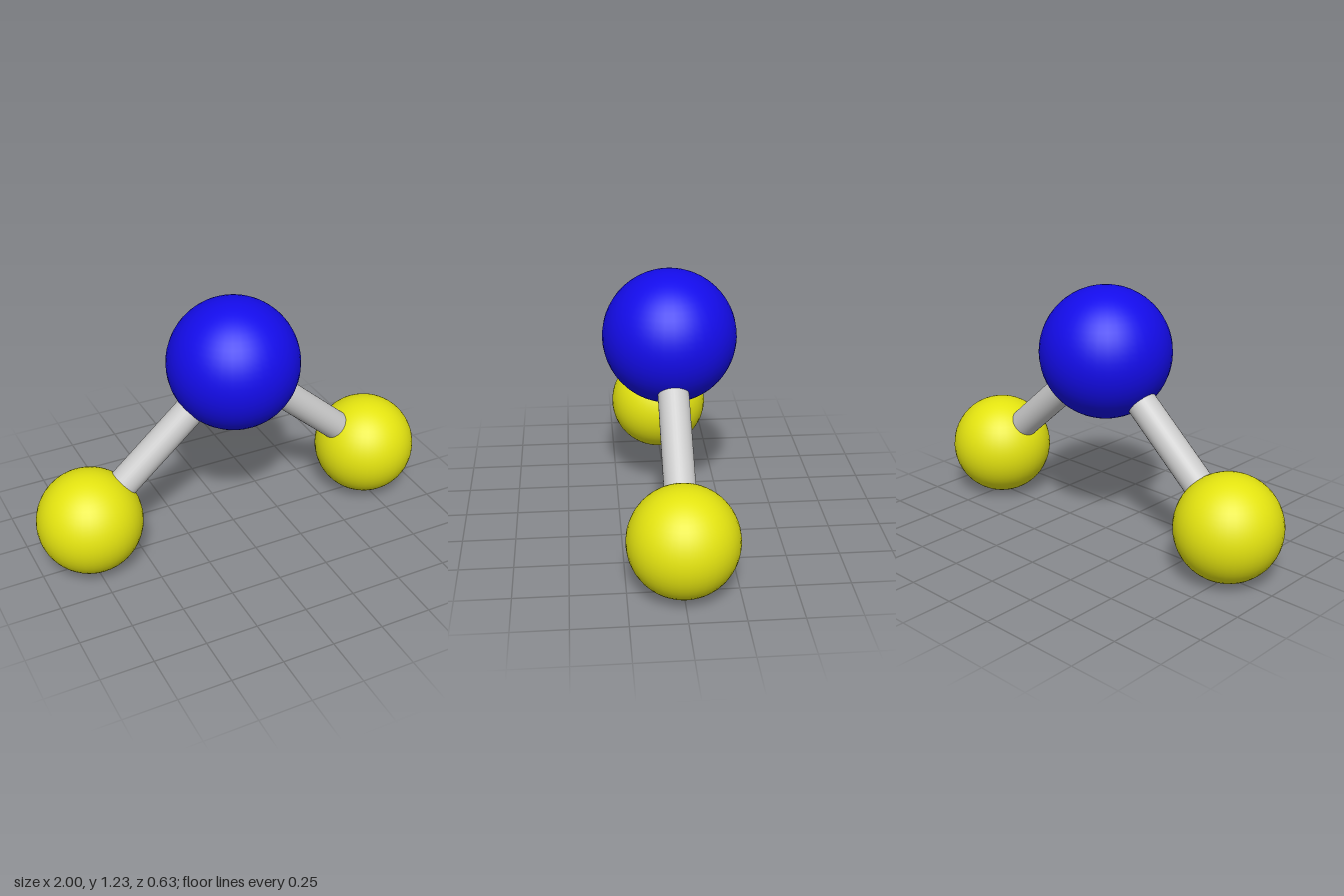
import * as THREE from 'three';

export function createModel() {
  const model = new THREE.Group();
  model.name = 'bentMolecule';
  const blue = new THREE.MeshStandardMaterial({ color: 0x140ceb });
  const yellow = new THREE.MeshStandardMaterial({ color: 0xe4e410 });
  const grey = new THREE.MeshStandardMaterial({ color: 0xcccccc });

  function addAtom(name, radius, position, material) {
    const atom = new THREE.Mesh(new THREE.SphereGeometry(radius, 40, 28), material);
    atom.name = name;
    atom.position.copy(position);
    model.add(atom);
  }

  // Rod running between the centres of two atoms
  function addBond(name, from, to) {
    const axis = to.clone().sub(from);
    const bond = new THREE.Mesh(new THREE.CylinderGeometry(0.072, 0.072, axis.length(), 32), grey);
    bond.name = name;
    bond.position.copy(from).add(to).multiplyScalar(0.5);
    bond.quaternion.setFromUnitVectors(new THREE.Vector3(0, 1, 0), axis.normalize());
    model.add(bond);
  }

  // Large central atom
  const centre = new THREE.Vector3(0, 0.912, 0);
  addAtom('centralAtom', 0.314, centre, blue);

  // Mirrored outer atoms and their bonds
  for (const [side, sign] of [['left', 1], ['right', -1]]) {
    const outer = new THREE.Vector3(sign * 0.749, 0.251, 0);
    addAtom(side + 'Atom', 0.251, outer, yellow);
    addBond(side + 'Bond', outer, centre);
  }
  return model;
}
